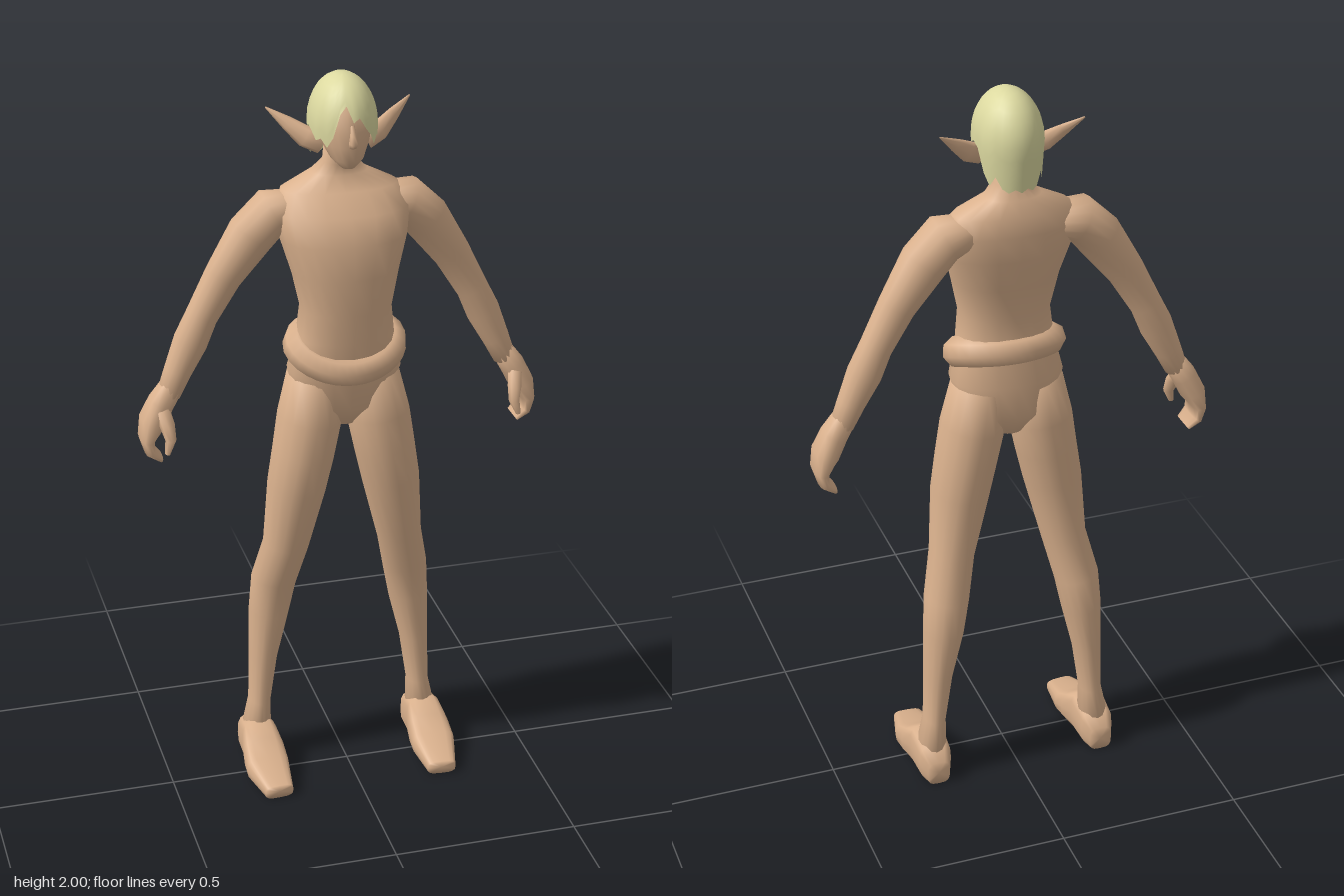
import * as THREE from 'three';

const skin = new THREE.MeshStandardMaterial({ color: 0xdab18d });
skin.name = 'skin';
const blond = new THREE.MeshStandardMaterial({ color: 0xdcd9a0, side: THREE.DoubleSide });
blond.name = 'blondHair';

const Z = new THREE.Vector3(0, 0, 1);
const Y = new THREE.Vector3(0, 1, 0);

// Skin over rings [x, y, z, halfWidth, halfDepth]; depth lies along w.
// power < 1 makes the rings boxier.
function loft(rings, { n = 14, w = Z, power = 1, side = 1 } = {}) {
  const centres = rings.map(r => new THREE.Vector3(r[0] * side, r[1], r[2]));
  const pos = [], index = [];
  const bend = v => Math.sign(v) * Math.abs(v) ** power;
  rings.forEach((r, i) => {
    const t = centres[Math.min(i + 1, rings.length - 1)].clone().sub(centres[Math.max(i - 1, 0)]);
    const u = new THREE.Vector3().crossVectors(w, t).normalize();
    for (let j = 0; j < n; j++) {
      const a = j / n * Math.PI * 2;
      const p = centres[i].clone()
        .addScaledVector(u, r[3] * bend(Math.cos(a)))
        .addScaledVector(w, r[4] * bend(Math.sin(a)));
      pos.push(p.x, p.y, p.z);
      if (i === rings.length - 1) continue;
      const k = (j + 1) % n, A = i * n + j, B = i * n + k;
      index.push(A, B, A + n, B, B + n, A + n);
    }
  });
  // end caps
  const last = (rings.length - 1) * n, c0 = rings.length * n;
  for (const c of [centres[0], centres[rings.length - 1]]) pos.push(c.x, c.y, c.z);
  for (let j = 0; j < n; j++) {
    const k = (j + 1) % n;
    index.push(c0, k, j, c0 + 1, last + j, last + k);
  }
  const g = new THREE.BufferGeometry();
  g.setAttribute('position', new THREE.Float32BufferAttribute(pos, 3));
  g.setIndex(index);
  g.computeVertexNormals();
  return g;
}

// Cap of hair with a jagged hem; hem heights run once round from the front
function hairGeometry() {
  const half = [1.9, 1.91, 1.88, 1.86, 1.83, 1.85, 1.84, 1.86, 1.87, 1.86, 1.8, 1.77, 1.8, 1.77, 1.76, 1.77, 1.76];
  const other = half.slice(1, 16).reverse();
  other[14] = 1.94;
  other[13] = 1.92;
  const hem = [...half, ...other], n = hem.length, rows = 9;
  const pos = [], index = [];
  for (let i = 0; i <= rows; i++) for (let j = 0; j < n; j++) {
    const d = (2 - hem[j]) * (i / rows) ** 1.7;
    const r = d < 0.13 ? Math.sqrt(1 - (1 - d / 0.13) ** 2) : 1 - (d - 0.13) * 0.7;
    const a = j / n * Math.PI * 2;
    pos.push(0.089 * r * Math.sin(a), 2 - d, -0.045 + 0.116 * r * Math.cos(a));
    if (i === rows) continue;
    const k = (j + 1) % n, A = i * n + j, B = i * n + k;
    index.push(A, A + n, B, B, A + n, B + n);
  }
  const g = new THREE.BufferGeometry();
  g.setAttribute('position', new THREE.Float32BufferAttribute(pos, 3));
  g.setIndex(index);
  g.computeVertexNormals();
  // the top ring is one point, so its normals point straight up
  for (let j = 0; j < n; j++) g.attributes.normal.setXYZ(j, 0, 1, 0);
  return g;
}

export function createModel() {
  const model = new THREE.Group();
  model.name = 'elfFigure';
  const add = (name, geometry, material = skin) => {
    const m = new THREE.Mesh(geometry, material);
    m.name = name;
    model.add(m);
    return m;
  };

  // Trunk from crotch to neck
  add('torso', loft([
    [0, 1.04, -0.045, 0.04, 0.045], [0, 1.1, -0.04, 0.12, 0.085], [0, 1.2, -0.032, 0.153, 0.1],
    [0, 1.3, -0.02, 0.13, 0.094], [0, 1.38, -0.015, 0.121, 0.095], [0, 1.48, -0.022, 0.142, 0.107],
    [0, 1.57, -0.037, 0.168, 0.116], [0, 1.64, -0.053, 0.18, 0.104], [0, 1.69, -0.077, 0.155, 0.074],
    [0, 1.73, -0.08, 0.075, 0.052], [0, 1.76, -0.07, 0.044, 0.047], [0, 1.83, -0.055, 0.042, 0.045],
  ], { n: 20, power: 0.88 }));

  // Head with nose
  add('head', loft([
    [0, 1.767, 0.012, 0.018, 0.02], [0, 1.79, 0, 0.042, 0.05], [0, 1.83, -0.028, 0.062, 0.088],
    [0, 1.87, -0.04, 0.072, 0.101], [0, 1.92, -0.045, 0.073, 0.098], [0, 1.965, -0.045, 0.044, 0.058],
  ], { n: 18 }));
  add('nose', loft([
    [0, 1.832, 0.058, 0.01, 0.01], [0, 1.845, 0.064, 0.012, 0.018],
    [0, 1.865, 0.06, 0.008, 0.012], [0, 1.89, 0.054, 0.006, 0.006],
  ], { n: 8 }));
  add('hair', hairGeometry(), blond);

  // Rolled waistband, low at the front and high at the back
  const band = [];
  for (let i = 0; i < 16; i++) {
    const a = i / 16 * Math.PI * 2, c = Math.cos(a), s = Math.sin(a);
    band.push(new THREE.Vector3(0.124 * s, 1.257 - 0.037 * c + 0.014 * s * s, -0.02 + 0.075 * c));
  }
  add('waistband', new THREE.TubeGeometry(new THREE.CatmullRomCurve3(band, true), 32, 0.043, 8, true));

  for (const side of [1, -1]) {
    const label = side > 0 ? 'left' : 'right';
    const limb = (name, rings, options) => add(label + name, loft(rings, { side, ...options }));

    limb('Arm', [
      [0.1, 1.645, -0.075, 0.04, 0.055], [0.18, 1.632, -0.075, 0.062, 0.07], [0.235, 1.575, -0.078, 0.063, 0.062],
      [0.31, 1.465, -0.082, 0.05, 0.046], [0.368, 1.36, -0.084, 0.043, 0.042], [0.4, 1.29, -0.084, 0.046, 0.045],
      [0.437, 1.21, -0.082, 0.037, 0.037], [0.463, 1.15, -0.08, 0.031, 0.036],
    ]);
    // Mitten hand with hooked fingers
    limb('Hand', [
      [0.455, 1.17, -0.08, 0.03, 0.034], [0.485, 1.125, -0.08, 0.034, 0.042], [0.51, 1.075, -0.08, 0.034, 0.05],
      [0.526, 1.03, -0.08, 0.02, 0.05], [0.519, 0.995, -0.08, 0.015, 0.046], [0.492, 0.972, -0.08, 0.008, 0.038],
    ], { n: 12, power: 0.85 });
    limb('Thumb', [
      [0.487, 1.12, -0.055, 0.02, 0.022], [0.478, 1.08, -0.03, 0.02, 0.02],
      [0.473, 1.045, -0.016, 0.015, 0.016], [0.484, 1.008, -0.01, 0.007, 0.009],
    ], { n: 8 });
    limb('Leg', [
      [0.08, 1.18, -0.04, 0.07, 0.088], [0.094, 1.06, -0.035, 0.086, 0.094], [0.112, 0.96, -0.033, 0.083, 0.09],
      [0.131, 0.86, -0.035, 0.079, 0.084], [0.16, 0.68, -0.047, 0.062, 0.064], [0.187, 0.56, -0.08, 0.062, 0.061],
      [0.2, 0.46, -0.089, 0.055, 0.059], [0.218, 0.32, -0.09, 0.039, 0.05], [0.23, 0.18, -0.09, 0.03, 0.046],
      [0.24, 0.08, -0.09, 0.042, 0.05],
    ], { n: 16 });
    limb('Foot', [
      [0.24, 0.035, -0.158, 0.032, 0.035], [0.24, 0.055, -0.125, 0.046, 0.055], [0.24, 0.065, -0.05, 0.05, 0.065],
      [0.24, 0.05, 0, 0.058, 0.05], [0.24, 0.035, 0.05, 0.06, 0.035], [0.233, 0.019, 0.152, 0.04, 0.019],
    ], { n: 16, w: Y, power: 0.6 });
    // Long pointed ear
    limb('Ear', [
      [0.06, 1.825, -0.025, 0.03, 0.016], [0.1, 1.84, -0.04, 0.028, 0.018],
      [0.14, 1.872, -0.06, 0.018, 0.012], [0.19, 1.91, -0.085, 0.002, 0.002],
    ], { n: 8 });
  }
  return model;
}
